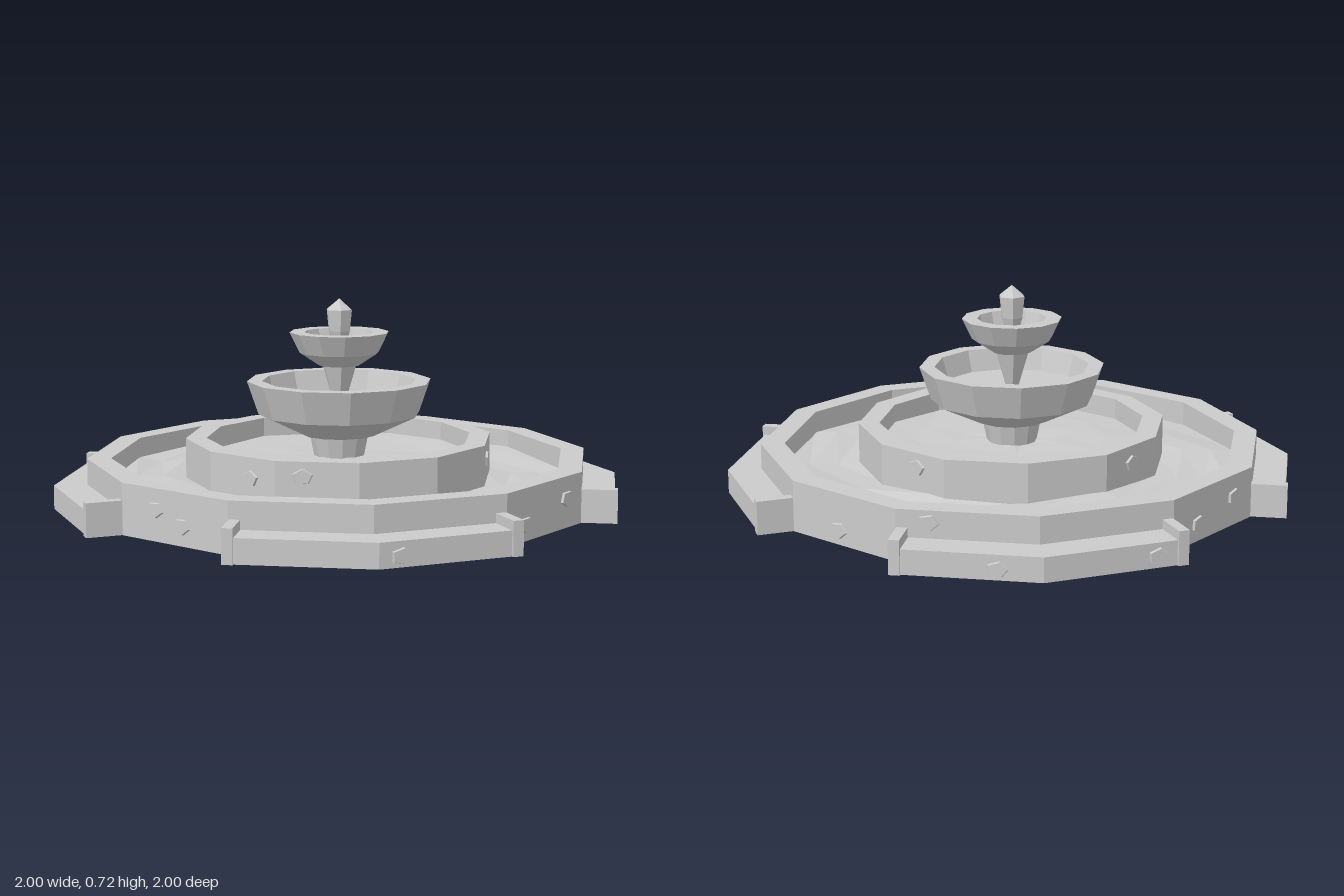
import * as THREE from 'three';

const stone = new THREE.MeshStandardMaterial({ color: 0xcccccc, flatShading: true });
const SIDES = 12;

// Faceted solid of revolution; profile runs from the bottom centre out, up and back in
function turned(name, profile, sides = SIDES) {
  const points = profile.map(([r, y]) => new THREE.Vector2(r, y));
  const mesh = new THREE.Mesh(new THREE.LatheGeometry(points, sides), stone);
  mesh.name = name;
  return mesh;
}

// Gently rippled low-poly water ring
function water(name, inner, outer, y, ripple) {
  const geo = new THREE.RingGeometry(inner, outer, SIDES, 3).rotateX(-Math.PI / 2);
  const pos = geo.attributes.position;
  for (let i = 0; i < pos.count; i++) {
    const h = Math.sin(Math.round(pos.getX(i) * 100) * 12.99 + Math.round(pos.getZ(i) * 100) * 78.23) * 437.58;
    pos.setY(i, y + ripple * (h - Math.floor(h) - 0.5));
  }
  geo.computeVertexNormals();
  const mesh = new THREE.Mesh(geo, stone);
  mesh.name = name;
  return mesh;
}

// Low step with a pointed front, closed by a post at each end
function step() {
  const group = new THREE.Group();
  group.name = 'step';
  const shape = new THREE.Shape([
    [0, 1], [-0.44, 0.882], [-0.4, 0.76], [0, 0.86], [0.4, 0.76], [0.44, 0.882],
  ].map(([x, z]) => new THREE.Vector2(x, -z)));
  const slab = new THREE.Mesh(
    new THREE.ExtrudeGeometry(shape, { depth: 0.083, bevelEnabled: false }).rotateX(-Math.PI / 2), stone);
  slab.name = 'stepSlab';
  group.add(slab);
  for (const side of [-1, 1]) {
    const post = new THREE.Mesh(new THREE.BoxGeometry(0.036, 0.115, 0.13), stone);
    post.position.set(side * 0.436, 0.0575, 0.825);
    post.rotation.y = side * Math.PI / 12;
    post.name = 'stepPost';
    group.add(post);
  }
  return group;
}

// Raised five-sided stone chip on a flat wall: face angle, offset along it, height, wall radius
function chip([degrees, offset, y, radius], i) {
  const geo = new THREE.CylinderGeometry(0.03, 0.036, 0.016, 5).rotateX(Math.PI / 2);
  geo.rotateZ(i * 1.3).scale(1.1, 0.85, 1);
  const mesh = new THREE.Mesh(geo, stone);
  const a = THREE.MathUtils.degToRad(degrees);
  const apothem = radius * Math.cos(Math.PI / SIDES);
  mesh.position.set(
    Math.sin(a) * apothem + Math.cos(a) * offset, y,
    Math.cos(a) * apothem - Math.sin(a) * offset);
  mesh.rotation.y = a;
  mesh.name = 'stoneChip';
  return mesh;
}

export function createModel() {
  const fountain = new THREE.Group();
  fountain.name = 'fountain';

  // Pools
  fountain.add(
    turned('outerPool', [[0, 0], [0.883, 0], [0.883, 0.175], [0.8, 0.175], [0.8, 0.07]]),
    water('outerWater', 0.52, 0.81, 0.1, 0.03),
    turned('innerPool', [[0.54, 0.05], [0.54, 0.24], [0.467, 0.24], [0.467, 0.14]]),
    water('innerWater', 0.05, 0.475, 0.17, 0.012),
  );

  // Bowls, stems and finial
  fountain.add(
    turned('pedestal', [[0.085, 0.15], [0.105, 0.25]]),
    turned('lowerBowl', [[0, 0.245], [0.13, 0.245], [0.285, 0.32], [0.325, 0.437],
      [0.272, 0.437], [0.25, 0.36], [0, 0.36]]),
    turned('upperStem', [[0.022, 0.355], [0.065, 0.495]], 6),
    turned('upperBowl', [[0, 0.49], [0.072, 0.49], [0.14, 0.535], [0.175, 0.607],
      [0.122, 0.607], [0.108, 0.55], [0, 0.55]]),
    turned('finial', [[0.02, 0.545], [0.04, 0.61], [0.048, 0.685], [0, 0.724]], 6),
  );

  // Four steps around the pool
  for (let i = 0; i < 4; i++) {
    const s = step();
    s.rotation.y = i * Math.PI / 2;
    fountain.add(s);
  }

  // Scattered chips: outer wall, steps, inner wall
  const chips = [
    [45, -0.12, 0.055, 0.883], [45, 0.13, 0.1, 0.883],
    [-45, -0.08, 0.105, 0.883], [-45, 0.035, 0.065, 0.883],
    [135, -0.02, 0.05, 0.883], [165, -0.124, 0.135, 0.883],
    [-135, -0.09, 0.06, 0.883], [-135, 0.12, 0.1, 0.883],
    [15, -0.186, 0.036, 1], [165, 0.114, 0.036, 1], [-165, 0.124, 0.04, 1],
    [135, 0.02, 0.19, 0.54], [75, -0.066, 0.18, 0.54],
    [-45, 0.035, 0.17, 0.54], [-15, -0.047, 0.19, 0.54], [-135, 0, 0.18, 0.54],
  ];
  chips.forEach((c, i) => fountain.add(chip(c, i)));

  return fountain;
}
